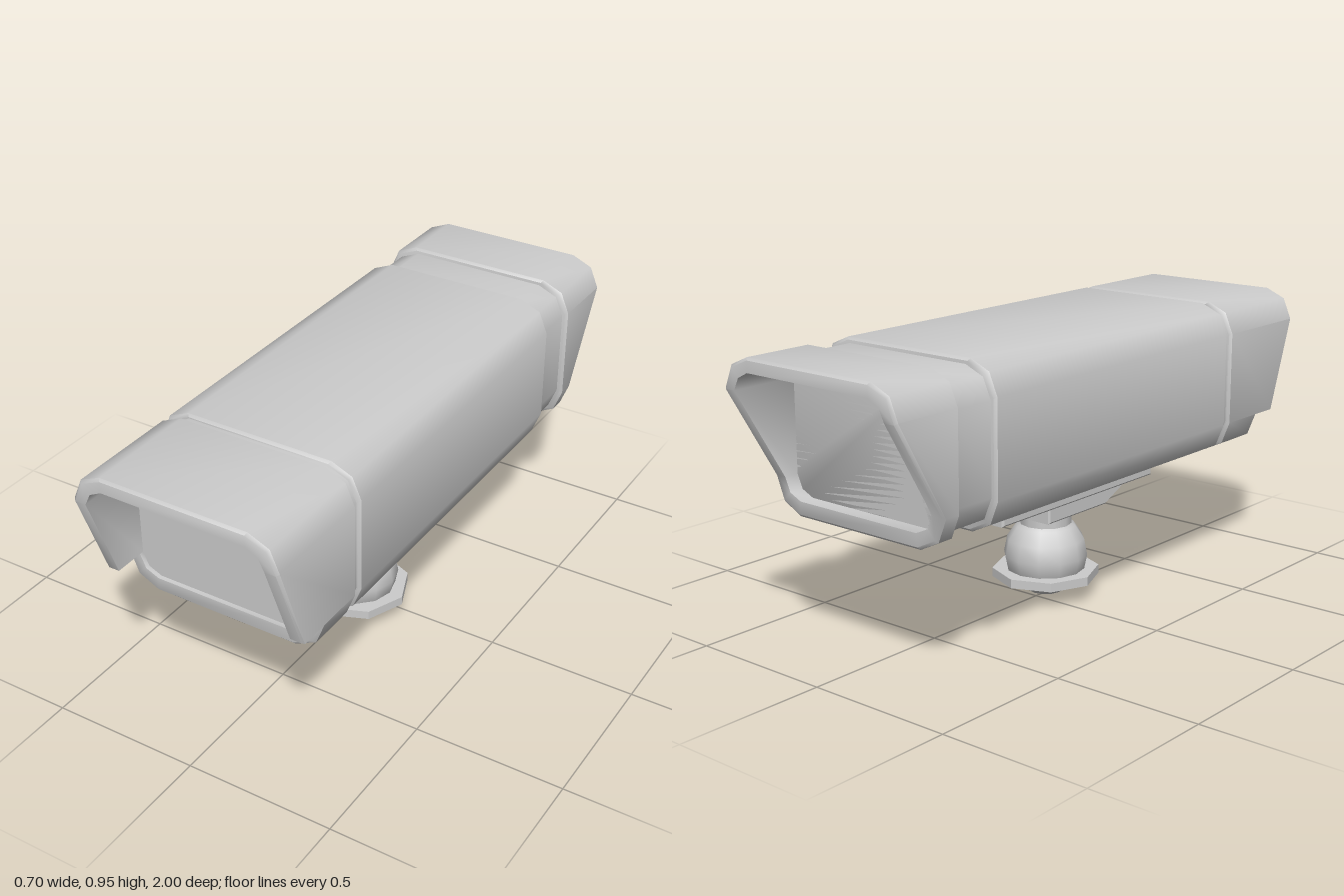
import * as THREE from 'three';
import { toCreasedNormals } from 'three/addons/utils/BufferGeometryUtils.js';

const MID = 0.69, HALF_W = 0.35, HALF_H = 0.26;

export function createModel() {
  const model = new THREE.Group();
  const material = new THREE.MeshStandardMaterial({ color: 0xcccccc });

  function add(name, geometry, parent = model) {
    const mesh = new THREE.Mesh(geometry, material);
    mesh.name = name;
    parent.add(mesh);
    return mesh;
  }

  // Right half of a section, top to bottom, mirrored into a closed loop
  const mirror = half => [
    ...half.map(([x, y, z]) => [-x, y, z]),
    ...half.slice().reverse(),
  ];

  // Housing section with chamfered corners; upper, middle and lower z may differ
  const outer = (zTop, zMid = zTop, zLow = zMid) => mirror([
    [0.25, 0.95, zTop], [0.32, 0.92, zTop], [0.35, 0.85, zTop],
    [0.35, 0.54, zMid], [0.35, 0.54, zLow], [0.32, 0.465, zLow], [0.25, 0.43, zLow],
  ]);
  const inner = (zTop, zMid = zTop, zLow = zMid) => mirror([
    [0.245, 0.905, zTop], [0.285, 0.885, zTop], [0.305, 0.845, zTop],
    [0.305, 0.545, zMid], [0.305, 0.545, zLow], [0.285, 0.5, zLow], [0.24, 0.48, zLow],
  ]);
  const inset = (ring, d, dz = 0) => ring.map(([x, y, z]) =>
    [x * (1 - d / HALF_W), MID + (y - MID) * (1 - d / HALF_H), z + dz]);

  // Skin a series of sections, optionally closing both ends
  function loft(rings, capStart, capEnd) {
    const pos = [], n = rings[0].length;
    const tri = (...p) => {
      const t = new THREE.Triangle(...p.map(v => new THREE.Vector3(...v)));
      if (t.getArea() > 1e-9) p.forEach(v => pos.push(...v));
    };
    for (let r = 0; r < rings.length - 1; r++) {
      const a = rings[r], b = rings[r + 1];
      for (let i = 0; i < n; i++) {
        const j = (i + 1) % n;
        tri(a[i], a[j], b[j]);
        tri(a[i], b[j], b[i]);
      }
    }
    const last = rings[rings.length - 1];
    for (let i = 1; i < n - 1; i++) {
      if (capStart) tri(rings[0][0], rings[0][i + 1], rings[0][i]);
      if (capEnd) tri(last[0], last[i], last[i + 1]);
    }
    const g = new THREE.BufferGeometry();
    g.setAttribute('position', new THREE.Float32BufferAttribute(pos, 3));
    return toCreasedNormals(g, 0.77);
  }

  // Straight housing section with small end bevels
  const B = 0.008;
  const block = (z0, z1, shrink = 0) => loft([
    inset(outer(z0), shrink + B), inset(outer(z0 + B), shrink),
    inset(outer(z1 - B), shrink), inset(outer(z1), shrink + B),
  ], true, true);

  add('mainHousing', block(-0.6, 0.59));
  add('frontSeam', block(0.57, 0.63, 0.012));
  add('rearNeck', block(-0.77, -0.58, 0.018));

  // Hollow hood with a slanted mouth and a recessed panel
  function hood(name, zBack, zMid, zLow, zPanel) {
    const group = new THREE.Group();
    group.name = name;
    const mouth = outer(1, zMid, zLow);
    add(name + 'Shell', loft([
      inset(outer(zBack), B), outer(zBack + B), inset(mouth, 0, -B), inset(mouth, B),
      inner(1, zMid, zLow), inner(zPanel),
    ], true, false), group);
    const face = new THREE.Shape(inner(0).map(([x, y]) => new THREE.Vector2(x, y)));
    add(name + 'Panel', new THREE.ShapeGeometry(face), group).position.z = zPanel;
    model.add(group);
    return group;
  }
  hood('frontHood', 0.61, 0.89, 0.79, 0.775);
  hood('rearHood', 0.75, 0.82, 0.82, 0.77).rotation.y = Math.PI;

  // Side profile (z, y) extruded across the width
  function across(name, profile, halfWidth) {
    const bevel = 0.006;
    const shape = new THREE.Shape(profile.map(([z, y]) => new THREE.Vector2(-z, y)));
    const g = new THREE.ExtrudeGeometry(shape, {
      depth: 2 * (halfWidth - bevel), bevelSize: bevel, bevelOffset: -bevel,
      bevelThickness: bevel, bevelSegments: 1,
    });
    g.translate(0, 0, bevel - halfWidth);
    g.rotateY(Math.PI / 2);
    add(name, g);
  }
  across('mountPlate', [[0.36, 0.387], [0.36, 0.45], [-0.41, 0.45], [-0.41, 0.387]], 0.211);
  across('mountWedge', [[0.32, 0.4], [0.32, 0.37], [0.19, 0.31], [-0.11, 0.31], [-0.11, 0.4]], 0.147);

  // Ball joint stack
  function turned(name, geometry, y) {
    add(name, geometry).position.set(0, y, 0.05);
  }
  turned('neckCollar', new THREE.CylinderGeometry(0.1, 0.1, 0.025, 12), 0.302);
  turned('jointNeck', new THREE.CylinderGeometry(0.088, 0.088, 0.12, 12), 0.25);
  turned('jointBall', new THREE.SphereGeometry(0.142, 12, 8), 0.145);
  turned('baseFlange', toCreasedNormals(new THREE.CylinderGeometry(0.18, 0.18, 0.03, 8), 0.5), 0.081);

  return model;
}
